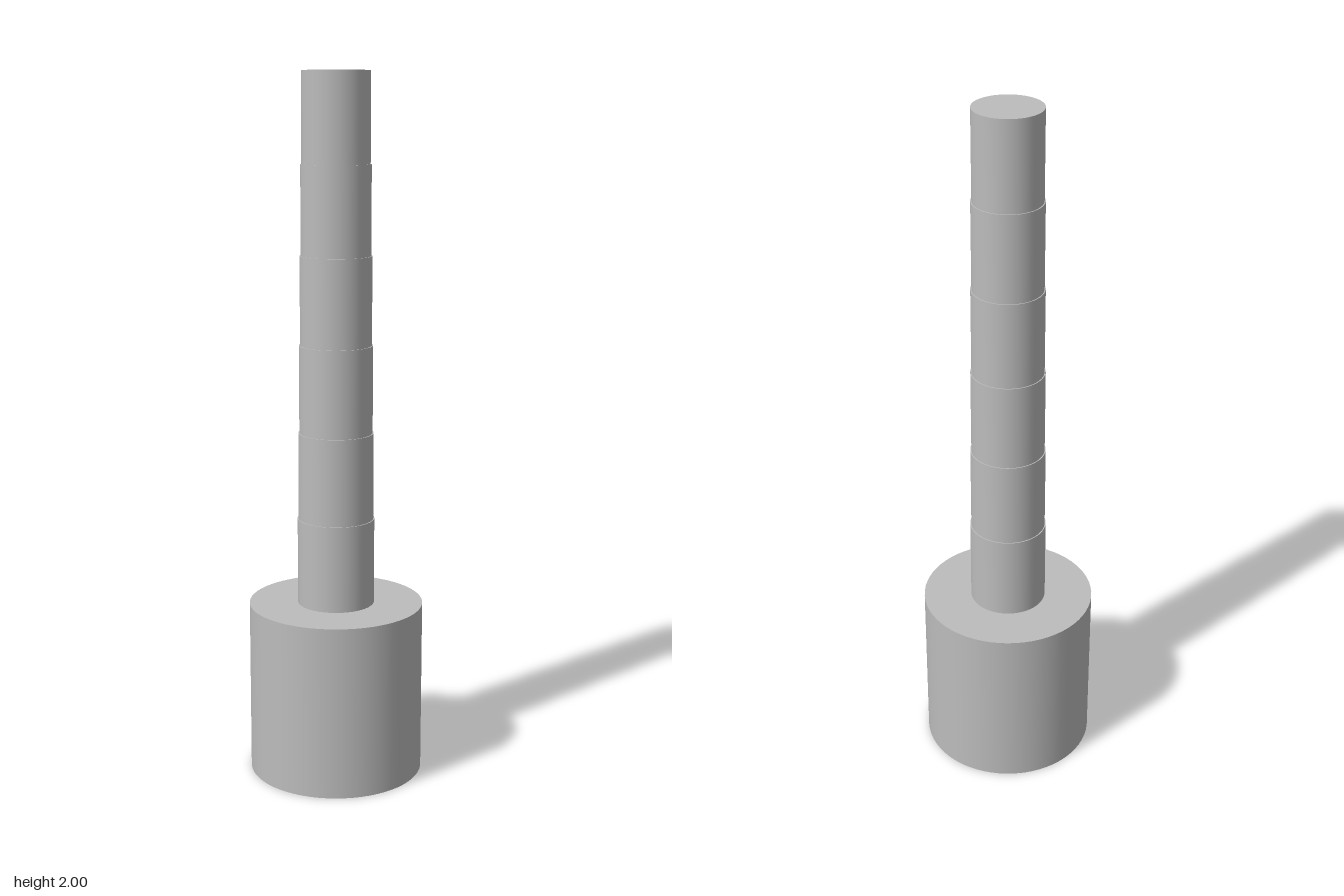
import * as THREE from 'three';

export function createModel() {
  const model = new THREE.Group();
  const grey = new THREE.MeshStandardMaterial({ color: 0xbcbcbc });
  grey.name = 'plain grey';

  // Upright solid cylinder standing on height y
  const addCylinder = (name, radius, height, y) => {
    const mesh = new THREE.Mesh(new THREE.CylinderGeometry(radius, radius, height, 64), grey);
    mesh.name = name;
    mesh.position.y = y + height / 2;
    model.add(mesh);
  };

  // Wide base drum
  addCylinder('base', 0.25, 0.5, 0);

  // Stepped shaft: six sections, each slightly narrower than the one below
  const sections = 6, sectionHeight = 0.25;
  for (let i = 0; i < sections; i++) {
    addCylinder(`shaftSection${i + 1}`, 0.11 - i * 0.003, sectionHeight, 0.5 + i * sectionHeight);
  }
  return model;
}
